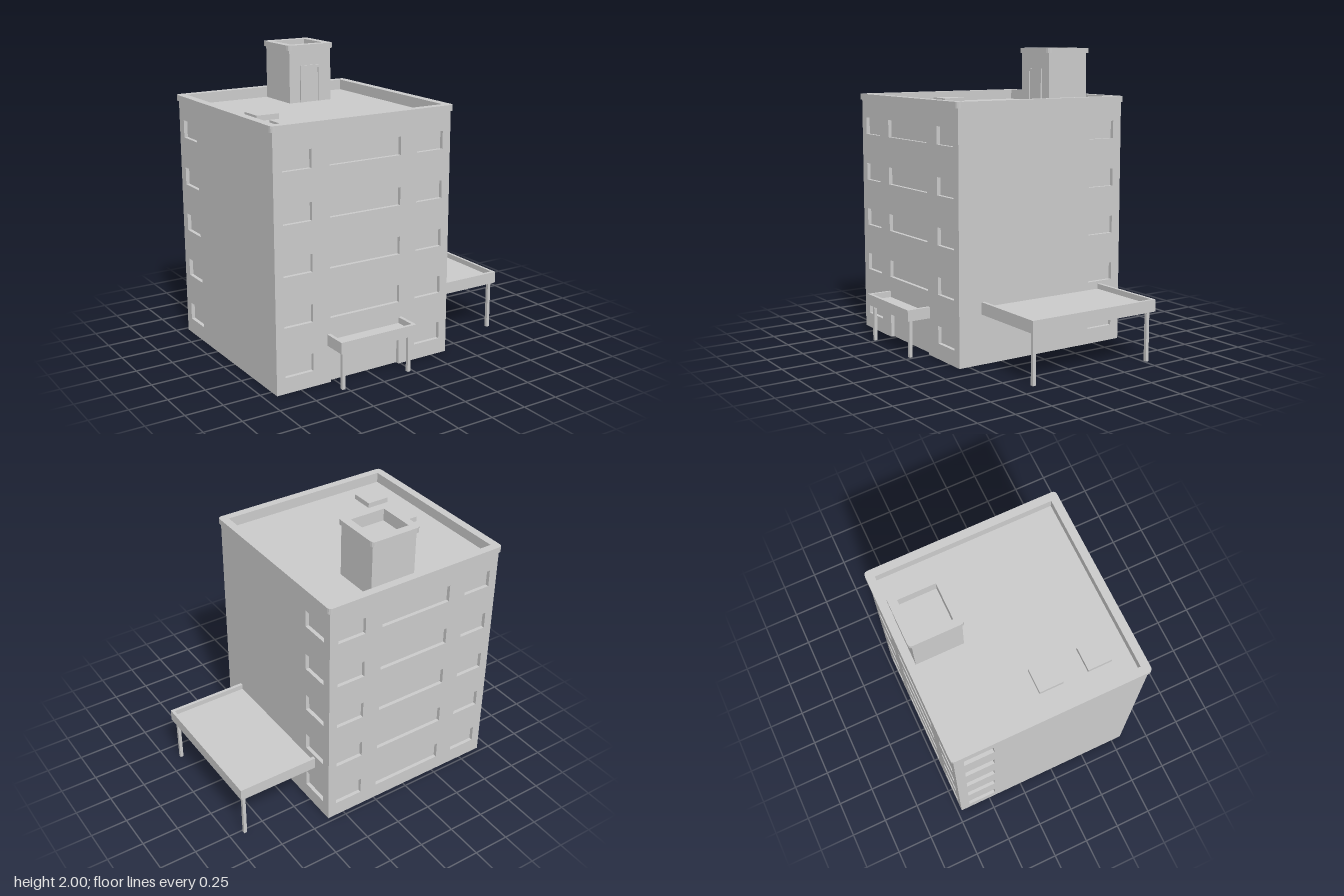
import * as THREE from 'three';

const material = new THREE.MeshStandardMaterial({ color: 0xcccccc, flatShading: true });

// Main block limits and wall build-up
const X0 = -0.92, X1 = 0.37, Z0 = -0.72, Z1 = 0.57;
const ROOF = 1.61, RECESS = 0.025;

function add(parent, name, geometry) {
  const mesh = new THREE.Mesh(geometry, material);
  mesh.name = name;
  parent.add(mesh);
  return mesh;
}

// Box given by its limits on each axis
function box(parent, name, x0, x1, y0, y1, z0, z1) {
  const mesh = add(parent, name, new THREE.BoxGeometry(x1 - x0, y1 - y0, z1 - z0));
  mesh.position.set((x0 + x1) / 2, (y0 + y1) / 2, (z0 + z1) / 2);
  return mesh;
}

// Rectangle path, with rounded corners when r > 0
function rect(path, x0, y0, x1, y1, r = 0) {
  if (!r) {
    path.moveTo(x0, y0).lineTo(x1, y0).lineTo(x1, y1).lineTo(x0, y1).closePath();
    return path;
  }
  path.moveTo(x0 + r, y0).lineTo(x1 - r, y0).quadraticCurveTo(x1, y0, x1, y0 + r);
  path.lineTo(x1, y1 - r).quadraticCurveTo(x1, y1, x1 - r, y1);
  path.lineTo(x0 + r, y1).quadraticCurveTo(x0, y1, x0, y1 - r);
  path.lineTo(x0, y0 + r).quadraticCurveTo(x0, y0, x0 + r, y0);
  return path;
}

// Horizontal frame: outer and inner limits are [x0, x1, z0, z1]
function ring(parent, name, outer, inner, y0, y1, r = 0) {
  const shape = rect(new THREE.Shape(), outer[0], -outer[3], outer[1], -outer[2], r);
  shape.holes.push(rect(new THREE.Path(), inner[0], -inner[3], inner[1], -inner[2]));
  const geometry = new THREE.ExtrudeGeometry(shape, { depth: y1 - y0, bevelEnabled: false, curveSegments: 3 });
  geometry.rotateX(-Math.PI / 2);
  add(parent, name, geometry).position.y = y0;
}

// Wall panel in x/y with window openings; optional doorway notch at the ground
function wallPanel(x0, x1, columns, door) {
  const shape = new THREE.Shape();
  shape.moveTo(x0, 0);
  if (door) shape.lineTo(door[0], 0).lineTo(door[0], 0.22).lineTo(door[1], 0.22).lineTo(door[1], 0);
  shape.lineTo(x1, 0).lineTo(x1, ROOF).lineTo(x0, ROOF).closePath();
  for (let floor = 0; floor < 5; floor++) {
    const y = 0.105 + floor * 0.3235;
    columns.forEach(([a, b], i) => {
      if (door && floor === 0 && i === 1) return;
      shape.holes.push(rect(new THREE.Path(), a, y, b, y + 0.117));
    });
  }
  return new THREE.ExtrudeGeometry(shape, { depth: RECESS, bevelEnabled: false });
}

function building() {
  const group = new THREE.Group();
  group.name = 'mainBlock';
  // The core's faces are the recessed window panes
  box(group, 'core', X0 + RECESS, X1 - RECESS, 0, ROOF, Z0 + RECESS, Z1 - RECESS);

  const columns = [[-0.86, -0.66], [-0.535, -0.015], [0.11, 0.31]];
  add(group, 'frontWall', wallPanel(X0, X1, columns, [-0.535, -0.015])).position.z = Z1 - RECESS;
  add(group, 'backWall', wallPanel(X0, X1, columns)).position.z = Z0;

  // Side walls: one window column near the back
  const side = wallPanel(-Z1 + RECESS, -Z0 - RECESS, [[0.455, 0.655]]).rotateY(Math.PI / 2);
  add(group, 'leftWall', side).position.x = X1 - RECESS;
  add(group, 'rightWall', side).position.x = X0;

  // Parapet and its coping
  const inner = [-0.88, 0.33, -0.68, 0.53];
  ring(group, 'parapet', [X0, X1, Z0, Z1], inner, ROOF, 1.64);
  ring(group, 'coping', [-0.935, 0.385, -0.735, 0.585], inner, 1.64, 1.68, 0.028);

  for (const z of [-0.08, 0.245]) box(group, 'skylight', -0.76, -0.6, ROOF, 1.645, z, z + 0.16);
  return group;
}

function stairHouse() {
  const group = new THREE.Group();
  group.name = 'stairHouse';
  const outer = [-0.275, 0.045, -0.675, -0.355], inner = [-0.24, 0.005, -0.64, -0.395];
  box(group, 'stairWalls', -0.275, 0.045, ROOF, 1.92, -0.675, -0.355);
  ring(group, 'stairParapet', outer, inner, 1.92, 1.965);
  ring(group, 'stairCoping', [-0.29, 0.06, -0.695, -0.34], inner, 1.965, 2, 0.028);

  // Door surround
  for (const x of [-0.195, -0.055]) box(group, 'doorJamb', x, x + 0.02, ROOF, 1.84, -0.36, -0.345);
  box(group, 'doorHead', -0.195, -0.035, 1.84, 1.86, -0.36, -0.345);
  return group;
}

// Canopy slab with a raised rim on the listed strips [x0, x1, z0, z1], on square posts
function canopy(name, [x0, x1, z0, z1], y0, yFloor, yTop, rims, posts) {
  const group = new THREE.Group();
  group.name = name;
  box(group, 'slab', x0, x1, y0, yFloor, z0, z1);
  for (const [a, b, c, d] of rims) box(group, 'rim', a, b, yFloor, yTop, c, d);
  for (const [x, z] of posts) box(group, 'post', x - 0.011, x + 0.011, 0, y0, z - 0.011, z + 0.011);
  return group;
}

export function createModel() {
  const model = new THREE.Group();
  model.name = 'apartmentBuilding';
  model.add(building(), stairHouse());

  model.add(canopy('sideCanopy', [X1, 0.93, -0.56, 0.405], 0.33, 0.375, 0.41,
    [[X1, 0.91, -0.56, -0.537], [X1, 0.91, 0.382, 0.405], [0.91, 0.93, -0.56, 0.405]],
    [[0.895, 0.375], [0.895, -0.52]]));

  model.add(canopy('entranceCanopy', [-0.558, 0.005, Z1, 0.735], 0.25, 0.285, 0.325,
    [[-0.558, -0.535, Z1, 0.712], [-0.018, 0.005, Z1, 0.712], [-0.558, 0.005, 0.712, 0.735]],
    [[-0.525, 0.7], [-0.03, 0.7]]));
  return model;
}
